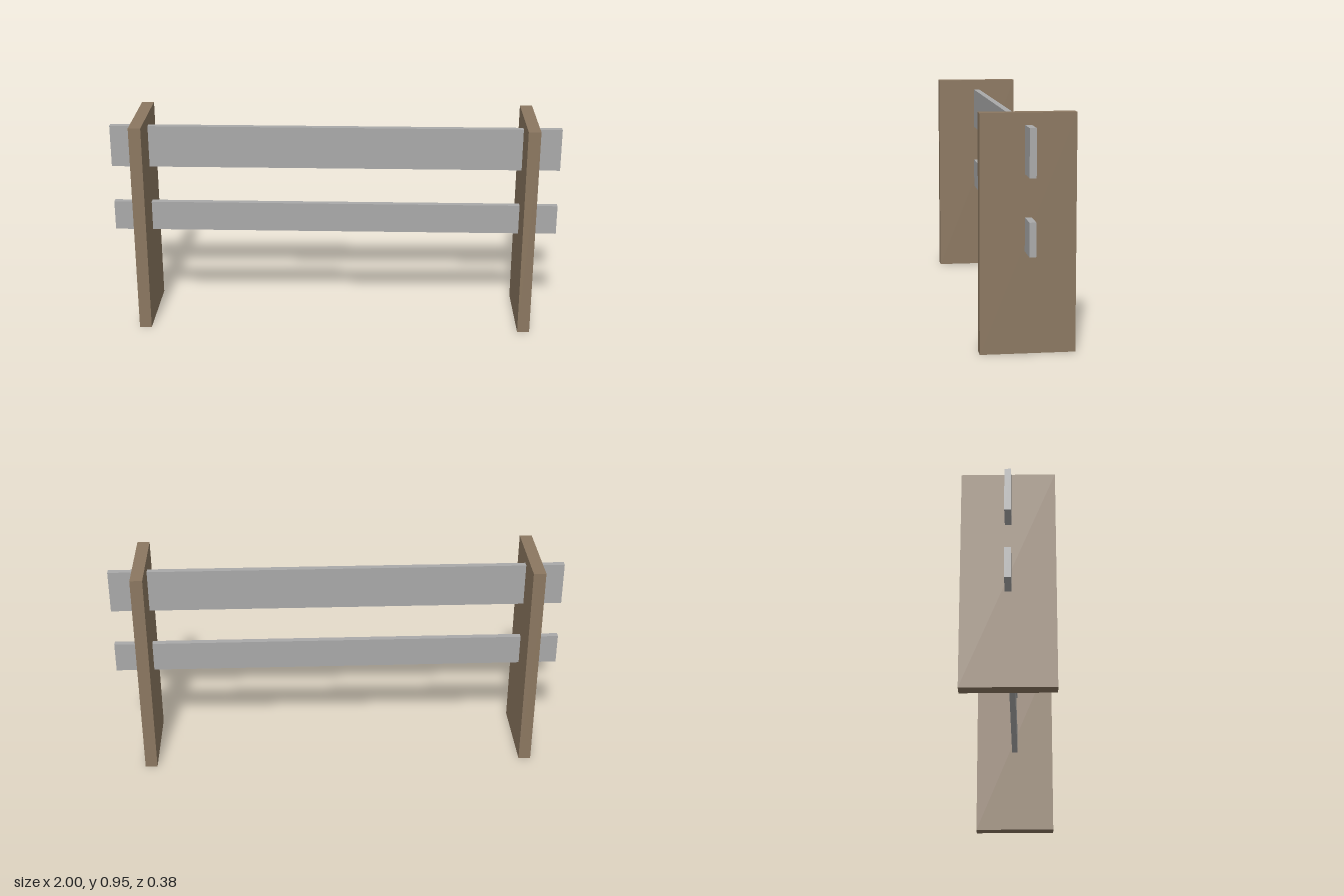
import * as THREE from 'three';

export function createModel() {
  const model = new THREE.Group();
  model.name = 'railStand';

  const wood = new THREE.MeshStandardMaterial({ color: 0x8b7760 });
  wood.name = 'brown wood';
  const grey = new THREE.MeshStandardMaterial({ color: 0xa9a9a9 });
  grey.name = 'grey rail';

  // Box standing with its base at height y
  const box = (name, material, w, h, d, x, y) => {
    const mesh = new THREE.Mesh(new THREE.BoxGeometry(w, h, d), material);
    mesh.name = name;
    mesh.position.set(x, y + h / 2, 0);
    model.add(mesh);
  };

  // Upright end panels
  for (const side of [-1, 1]) {
    box(side > 0 ? 'leftEndPanel' : 'rightEndPanel', wood, 0.054, 0.952, 0.381, side * 0.857, 0);
  }

  // Rails passing through both panels
  box('upperRail', grey, 2, 0.19, 0.027, 0, 0.714);
  box('lowerRail', grey, 2, 0.134, 0.027, 0, 0.41);

  return model;
}
